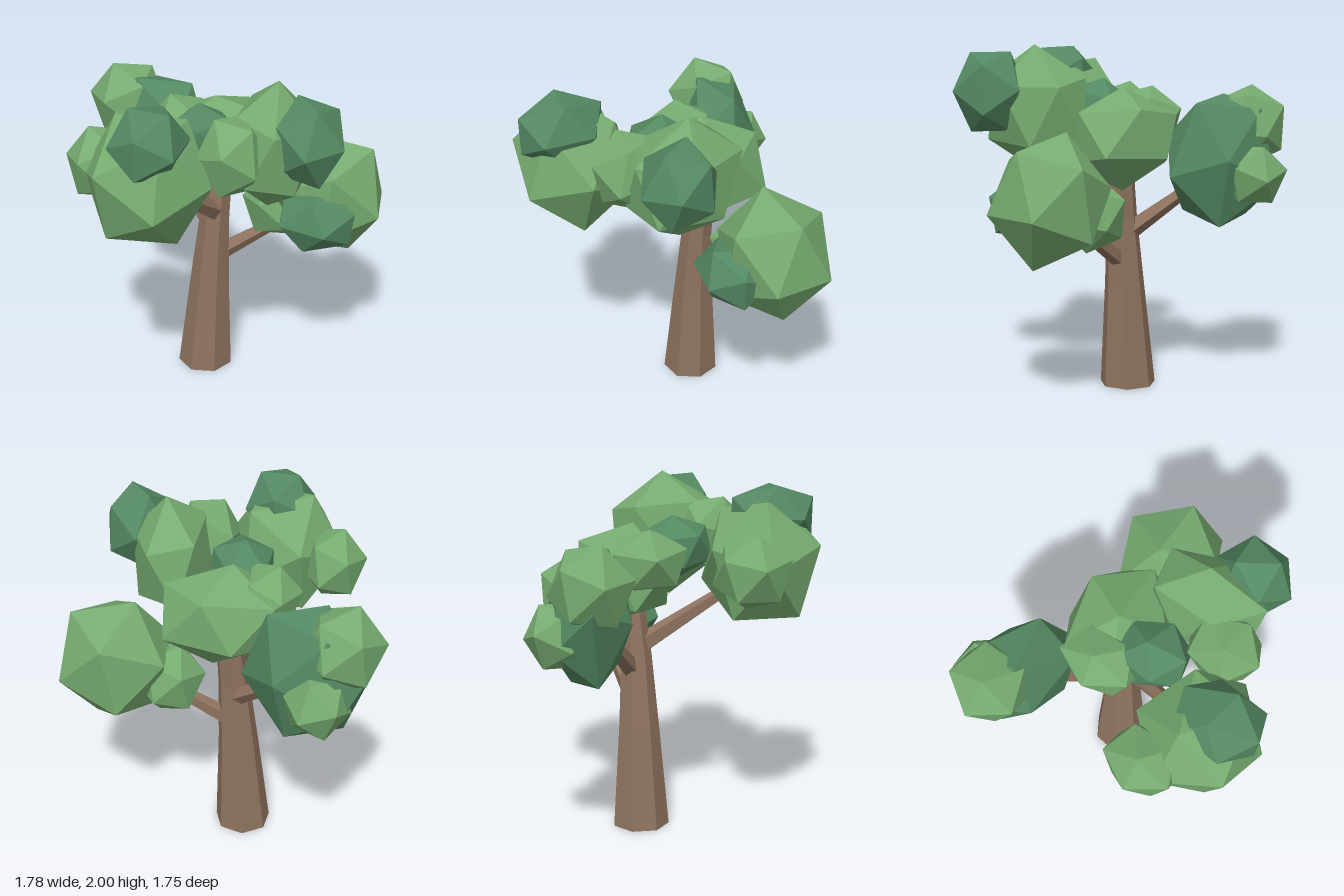
import * as THREE from 'three';

const bark = new THREE.MeshStandardMaterial({ name: 'bark brown', color: 0x8f735f, flatShading: true, side: THREE.DoubleSide });
const lightLeaf = new THREE.MeshStandardMaterial({ name: 'light leaf green', color: 0x76ab70, flatShading: true });
const darkLeaf = new THREE.MeshStandardMaterial({ name: 'dark leaf green', color: 0x548962, flatShading: true });

function faceted(geometry) {
  const g = geometry.index ? geometry.toNonIndexed() : geometry;
  g.computeVertexNormals();
  return g;
}

// Twenty-sided leaf clump with the given centre and half sizes.
// a and b are offsets of two neighbouring corners, which set how it is turned.
function clump(name, material, centre, half, a = [-0.18, 0.03, -0.01], b = [-0.09, 0.07, 0.18], yaw = 0) {
  const size = new THREE.Vector3(...half);
  const u = new THREE.Vector3(...a).divide(size).normalize();
  const v = new THREE.Vector3(...b).divide(size).normalize();
  const zAxis = u.clone().add(v).normalize();
  const yAxis = u.clone().sub(v).normalize();
  const xAxis = yAxis.clone().cross(zAxis);
  const g = new THREE.IcosahedronGeometry(1, 0);
  g.applyMatrix4(new THREE.Matrix4().makeBasis(xAxis, yAxis, zAxis));
  g.computeBoundingBox();
  size.divide(g.boundingBox.max);
  g.scale(size.x, size.y, size.z);
  const mesh = new THREE.Mesh(faceted(g), material);
  mesh.name = name;
  mesh.position.set(...centre);
  mesh.rotation.y = yaw;
  return mesh;
}

// Tapered branch between two points
function branch(name, from, to, r0, r1) {
  const a = new THREE.Vector3(...from);
  const b = new THREE.Vector3(...to);
  const mesh = new THREE.Mesh(faceted(new THREE.CylinderGeometry(r1, r0, a.distanceTo(b), 5)), bark);
  mesh.name = name;
  mesh.position.copy(a).lerp(b, 0.5);
  mesh.quaternion.setFromUnitVectors(new THREE.Vector3(0, 1, 0), b.sub(a).normalize());
  return mesh;
}

// Seven-sided hollow trunk, bending and tapering through rings of [y, x, z, radius]
function trunk() {
  const rings = [
    [0, -0.14, -0.095, 0.165],
    [0.6, -0.108, -0.095, 0.118],
    [1.0, -0.08, -0.098, 0.09],
    [1.4, -0.04, -0.12, 0.07],
  ];
  const g = new THREE.CylinderGeometry(1, 1, 3, 7, 3, true, Math.PI / 7);
  const p = g.attributes.position;
  for (let i = 0; i < p.count; i++) {
    const [y, x, z, r] = rings[Math.round(p.getY(i) + 1.5)];
    p.setXYZ(i, x + p.getX(i) * r, y, z + p.getZ(i) * r);
  }
  const mesh = new THREE.Mesh(faceted(g), bark);
  mesh.name = 'trunk';
  return mesh;
}

function cluster(name, ...clumps) {
  const group = new THREE.Group();
  group.name = name;
  return group.add(...clumps);
}

export function createModel() {
  const tree = new THREE.Group();
  tree.name = 'tree';
  const L = lightLeaf;
  const D = darkLeaf;

  tree.add(
    trunk(),
    branch('leftBranch', [-0.08, 0.74, -0.11], [0.42, 1.06, -0.13], 0.055, 0.03),
    branch('backBranch', [-0.08, 0.91, -0.12], [-0.45, 1.26, -0.46], 0.06, 0.03),
    branch('frontBranch', [-0.08, 1.06, -0.06], [-0.3, 1.43, 0.45], 0.06, 0.03)
  );

  tree.add(cluster('frontCluster',
    clump('frontLeaves', L, [-0.36, 1.54, 0.54], [0.355, 0.355, 0.335], [0.12, 0.29, 0.23], [0.09, -0.09, 0.34]),
    clump('frontTopLeaves', D, [-0.33, 1.787, 0.625], [0.205, 0.182, 0.238], [-0.11, 0.18, -0.025], [-0.21, 0, 0.09]),
    clump('frontSideLeaves', L, [-0.64, 1.54, 0.355], [0.195, 0.21, 0.2])
  ));

  tree.add(cluster('backCluster',
    clump('backLeaves', D, [-0.475, 1.335, -0.517], [0.357, 0.375, 0.24], [-0.178, 0.27, -0.143], [0.061, 0.03, -0.248], -0.488),
    clump('backTopLeaves', L, [-0.66, 1.525, -0.57], [0.235, 0.235, 0.205], [-0.23, 0.03, -0.01], [-0.12, 0.05, 0.2]),
    clump('backSideLeaves', L, [-0.53, 1.26, -0.69], [0.185, 0.165, 0.18], [-0.1, 0.03, -0.18], [0.1, -0.02, -0.17])
  ));

  tree.add(cluster('leftCluster',
    clump('leftLeaves', L, [0.585, 1.175, -0.15], [0.305, 0.365, 0.285], [0.095, -0.365, 0.02], [0.295, -0.045, -0.16]),
    clump('leftFrontLeaves', D, [0.525, 1.11, 0.09], [0.215, 0.168, 0.185], [0.02, -0.03, 0.19], [0.2, 0.08, 0.05]),
    clump('leftInnerLeaves', L, [0.275, 1.07, -0.18], [0.2, 0.21, 0.18])
  ));

  tree.add(cluster('upperCluster',
    clump('upperLeaves', L, [0.28, 1.635, 0.235], [0.23, 0.365, 0.325], [0.02, 0.37, 0], [0.14, 0.15, -0.32]),
    clump('upperSideLeaves', D, [0.48, 1.735, 0.4], [0.19, 0.225, 0.23], [-0.01, 0, 0.24], [0.07, -0.225, 0.09]),
    clump('upperFrontLeaves', L, [0.08, 1.655, 0.445], [0.19, 0.215, 0.215], [-0.085, 0.2, 0.03], [0.1, 0.15, 0.07])
  ));

  tree.add(cluster('middleCluster',
    clump('middleLeaves', L, [-0.02, 1.47, -0.155], [0.325, 0.29, 0.28], [-0.05, 0.28, 0.05], [0.1, 0.17, -0.22]),
    clump('middleSideLeaves', L, [-0.275, 1.57, -0.105], [0.185, 0.185, 0.22]),
    clump('middleTopLeaves', D, [-0.12, 1.62, 0.13], [0.175, 0.18, 0.19], [-0.02, 0.18, -0.05], [0.01, 0.09, 0.17])
  ));
  return tree;
}
